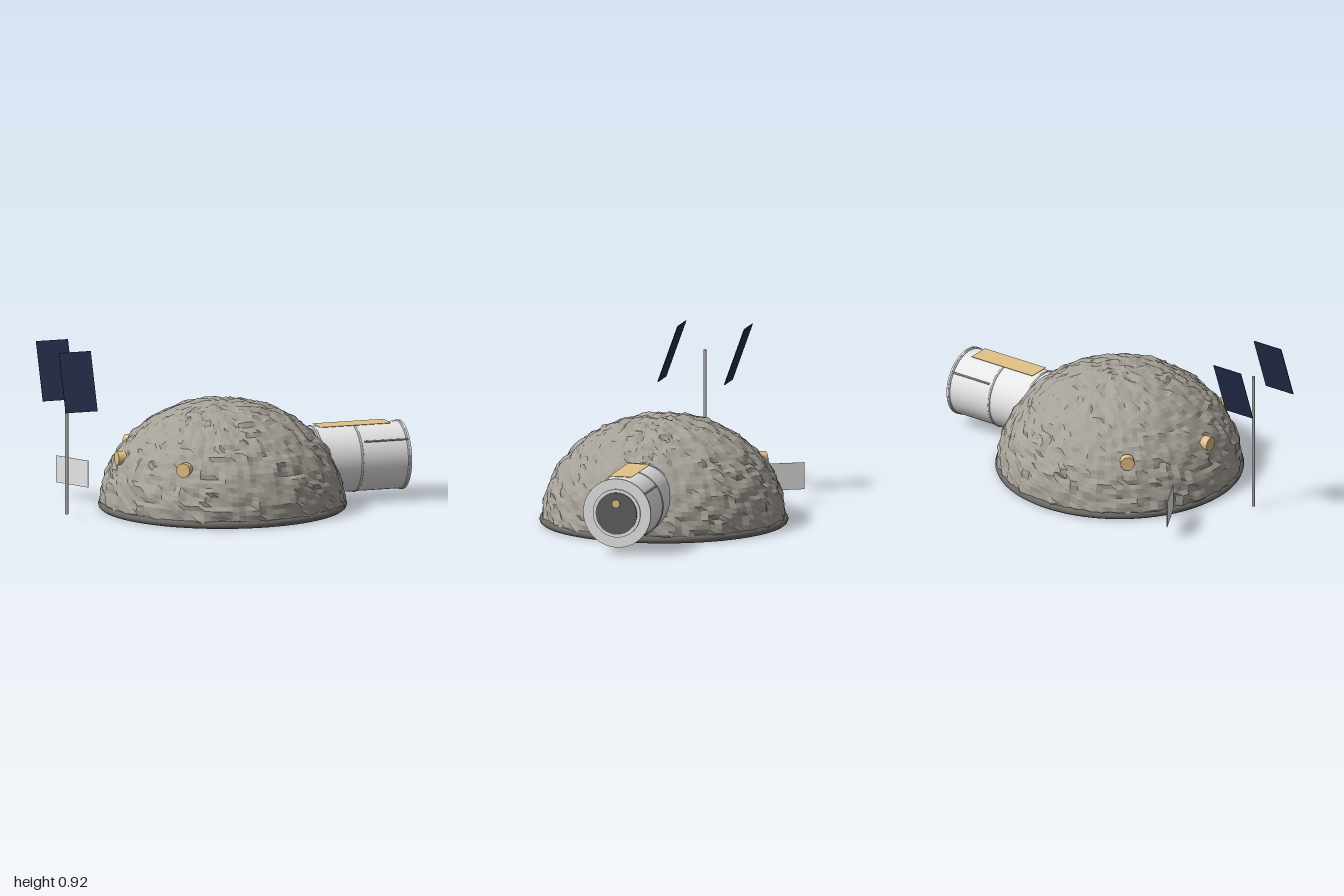
import * as THREE from 'three';

const material = (name, color, extra = {}) => {
  const m = new THREE.MeshStandardMaterial({ color, ...extra });
  m.name = name;
  return m;
};

// Smooth lattice noise in 0..1
const hash = (x, y, z) => {
  const s = Math.sin(x * 127.1 + y * 311.7 + z * 74.7) * 43758.5453;
  return s - Math.floor(s);
};
function noise(x, y, z) {
  const base = [x, y, z].map(Math.floor);
  const f = [x, y, z].map((c, i) => THREE.MathUtils.smoothstep(c - base[i], 0, 1));
  let sum = 0;
  for (let corner = 0; corner < 8; corner++) {
    const o = [corner & 1, (corner >> 1) & 1, corner >> 2];
    const weight = o.reduce((w, bit, i) => w * (bit ? f[i] : 1 - f[i]), 1);
    sum += weight * hash(base[0] + o[0], base[1] + o[1], base[2] + o[2]);
  }
  return sum;
}

export function createModel() {
  const rock = material('regolith', 0xa6a198, { flatShading: true, side: THREE.DoubleSide });
  const darkRock = material('dark base', 0x6e6b65);
  const shell = material('light grey shell', 0xe8e8e8);
  const metal = material('grey metal', 0xb0b0b0);
  const dark = material('dark hatch', 0x606060);
  const gold = material('gold', 0xe2c286);
  const cell = material('solar blue', 0x273150);

  const model = new THREE.Group();
  const add = (name, geometry, mat, x = 0, y = 0, z = 0) => {
    const mesh = new THREE.Mesh(geometry, mat);
    mesh.name = name;
    mesh.position.set(x, y, z);
    model.add(mesh);
    return mesh;
  };
  // Cylinder lying along x, from x0 to x1
  const barrel = (name, radius, x0, x1, y, mat, sides = 48) =>
    add(name, new THREE.CylinderGeometry(radius, radius, x1 - x0, sides).rotateZ(-Math.PI / 2),
      mat, (x0 + x1) / 2, y, 0);

  // Rough, hollow dome: a half sphere pushed in and out by noise
  const domeX = -0.03;
  const domeGeo = new THREE.SphereGeometry(1, 110, 36, 0, Math.PI * 2, 0, Math.PI / 2);
  const pos = domeGeo.attributes.position;
  const v = new THREE.Vector3();
  for (let i = 0; i < pos.count; i++) {
    v.fromBufferAttribute(pos, i);
    // Rounding keeps the two sides of the seam together
    const [x, y, z] = v.toArray().map((c) => Math.round(c * 1e5) / 1e5 + 3.01);
    const bump = noise(x * 16, y * 16, z * 16) - 0.5 + 0.4 * (noise(x * 31, y * 31, z * 31) - 0.5);
    v.multiplyScalar(1 + 0.042 * bump);
    pos.setXYZ(i, v.x * 0.65, Math.max(0, v.y) * 0.56, v.z * 0.65);
  }
  domeGeo.computeVertexNormals();
  add('dome', domeGeo, rock, domeX, 0.02, 0);

  // Base ring
  add('baseRing', new THREE.TorusGeometry(0.643, 0.02, 10, 96).rotateX(Math.PI / 2),
    darkRock, domeX, 0.02, 0);

  // Entrance tunnel with ribs, end flange, hatch and porthole
  const axisY = 0.223;
  barrel('tunnel', 0.181, 0.4, 0.97, axisY, shell);
  for (const x of [0.475, 0.7, 0.962]) {
    add('tunnelRib', new THREE.TorusGeometry(0.178, 0.0075, 8, 48).rotateY(Math.PI / 2),
      metal, x, axisY, 0);
  }
  barrel('endPlate', 0.186, 0.965, 0.975, axisY, shell);
  barrel('endFlange', 0.13, 0.97, 0.984, axisY, shell);
  barrel('hatch', 0.113, 0.98, 0.991, axisY, dark);
  barrel('porthole', 0.022, 0.985, 1.0, 0.277, gold, 16);
  add('roofPanel', new THREE.BoxGeometry(0.4, 0.002, 0.124), gold, 0.7, 0.407, 0);
  for (const side of [-1, 1]) {
    const rail = barrel('handrail', 0.005, 0.72, 0.965, 0.332, metal, 8);
    rail.position.z = side * 0.15;
  }

  // Short round vents around the back of the dome
  for (const degrees of [130, 180, 230]) {
    const a = THREE.MathUtils.degToRad(degrees);
    const vent = add('vent', new THREE.CylinderGeometry(0.038, 0.038, 0.045, 20).rotateZ(-Math.PI / 2),
      gold, domeX + 0.576 * Math.cos(a), 0.3, 0.576 * Math.sin(a));
    vent.rotation.y = -a;
  }

  // Mast with two tilted solar panels
  add('mast', new THREE.CylinderGeometry(0.009, 0.009, 0.765, 12), metal, -0.91, 0.3975, 0);
  for (const side of [-1, 1]) {
    const panel = add('solarPanel', new THREE.BoxGeometry(0.18, 0.326, 0.004), cell,
      -0.91, 0.762, side * 0.183);
    panel.rotation.x = -0.345;
  }

  // Upright sign plate beside the dome
  const plate = add('signPlate', new THREE.BoxGeometry(0.235, 0.145, 0.003), shell, -0.71, 0.149, -0.48);
  plate.rotation.y = -Math.atan2(0.21, 0.11);

  return model;
}
